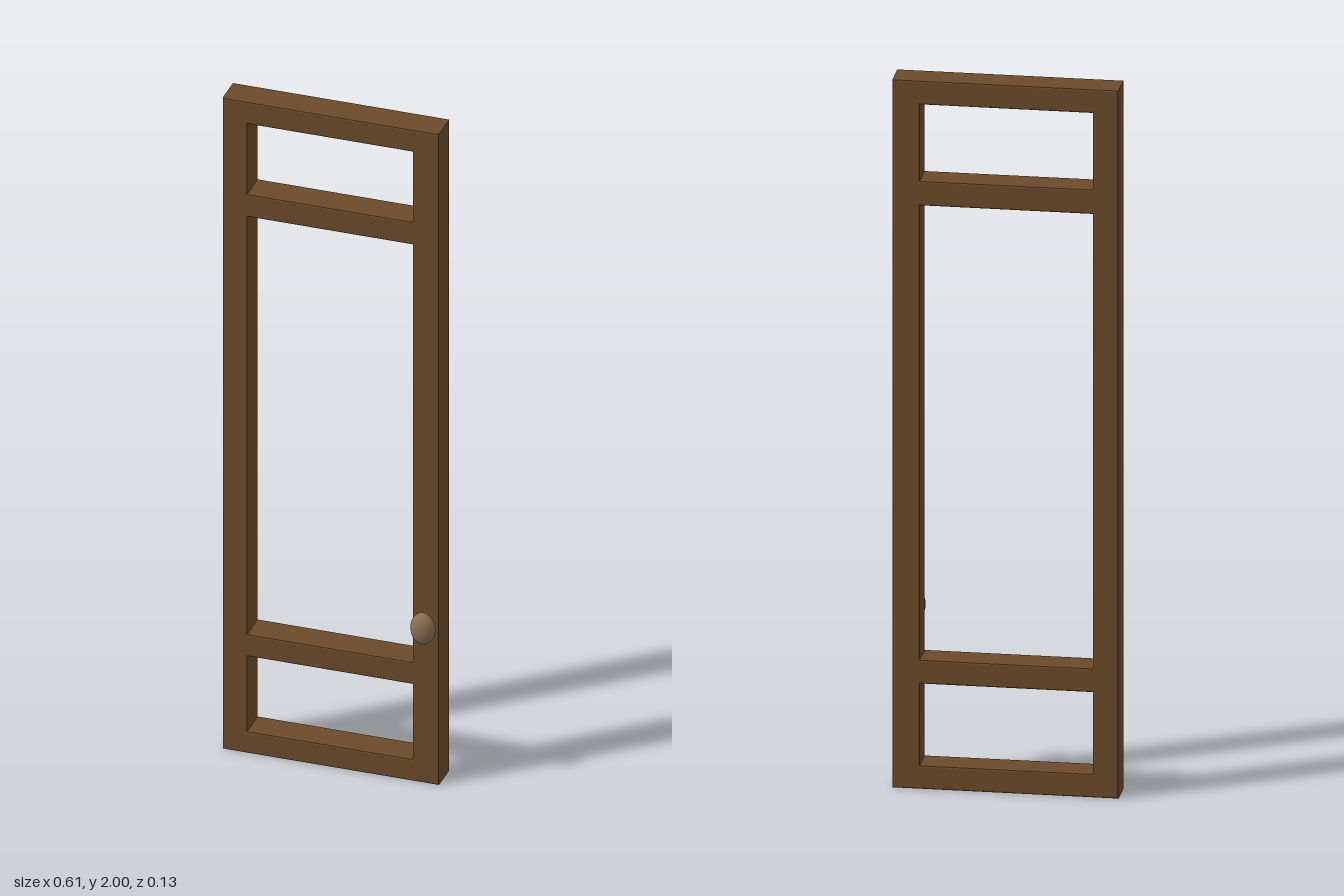
import * as THREE from 'three';

// Rectangle outline from its edges
function rect(Type, x0, x1, y0, y1) {
  const path = new Type();
  path.moveTo(x0, y0);
  path.lineTo(x1, y0);
  path.lineTo(x1, y1);
  path.lineTo(x0, y1);
  path.closePath();
  return path;
}

export function createModel() {
  const model = new THREE.Group();
  model.name = 'door';
  const wood = new THREE.MeshStandardMaterial({ color: 0x6b4a2a });
  const knobMaterial = new THREE.MeshStandardMaterial({ color: 0x8b6f50 });

  // Frame with two cross rails: one panel with three openings and softened edges
  const back = -0.068, front = 0.022, bevel = 0.005;
  const outline = rect(THREE.Shape, -0.306, 0.306, 0, 2);
  for (const [y0, y1] of [[0.067, 0.297], [0.365, 1.647], [1.717, 1.932]]) {
    outline.holes.push(rect(THREE.Path, -0.236, 0.232, y0, y1));
  }
  const frameGeometry = new THREE.ExtrudeGeometry(outline, {
    depth: front - back - 2 * bevel,
    bevelThickness: bevel,
    bevelSize: bevel,
    bevelOffset: -bevel,
    bevelSegments: 2,
  });
  frameGeometry.translate(0, 0, back + bevel);
  const frame = new THREE.Mesh(frameGeometry, wood);
  frame.name = 'doorFrame';
  model.add(frame);

  // Oval knob: a domed head on a short stem, stretched vertically
  const knob = new THREE.Group();
  knob.name = 'knob';
  knob.position.set(0.268, 0.486, front);
  knob.scale.set(1, 1.36, 1);

  const stemGeometry = new THREE.CylinderGeometry(0.012, 0.012, 0.024, 24);
  stemGeometry.rotateX(Math.PI / 2);
  const stem = new THREE.Mesh(stemGeometry, knobMaterial);
  stem.name = 'knobStem';
  stem.position.z = 0.008;
  knob.add(stem);

  const profile = [new THREE.Vector2(0, 0.015), new THREE.Vector2(0.033, 0.015)];
  for (let i = 0; i <= 12; i++) {
    const a = (i / 12) * Math.PI / 2;
    profile.push(new THREE.Vector2(0.035 * Math.cos(a), 0.017 + 0.028 * Math.sin(a)));
  }
  const headGeometry = new THREE.LatheGeometry(profile, 32);
  headGeometry.rotateX(Math.PI / 2);
  const head = new THREE.Mesh(headGeometry, knobMaterial);
  head.name = 'knobHead';
  knob.add(head);
  model.add(knob);

  return model;
}
